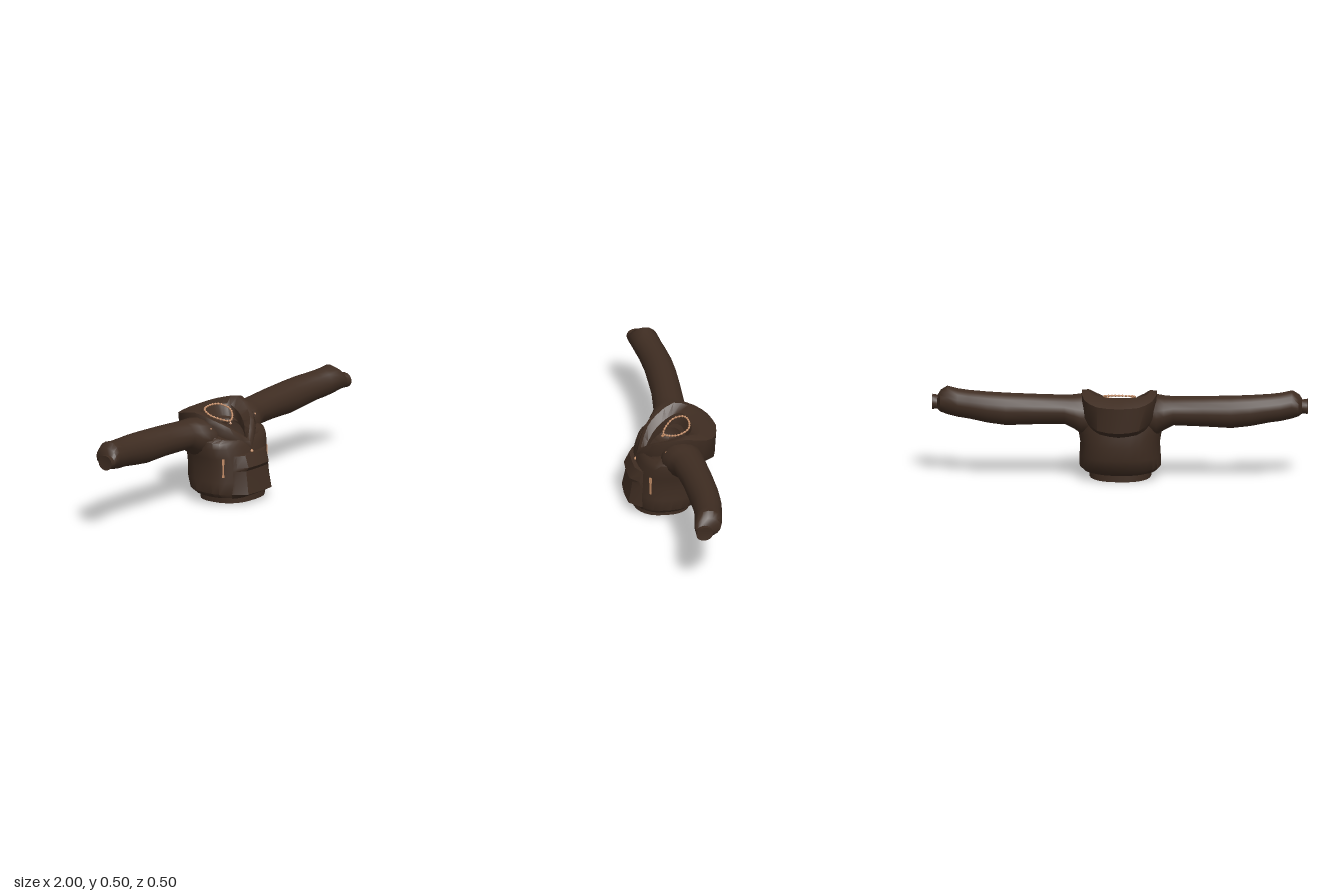
import * as THREE from 'three';
import { toCreasedNormals } from 'three/addons/utils/BufferGeometryUtils.js';

const V = (x, y, z) => new THREE.Vector3(x, y, z);

// Skin between rows of points; wrap closes each row into a ring.
function loft(rows, wrap = true, crease = 0.75) {
  const n = rows[0].length, idx = [];
  for (let i = 0; i < rows.length - 1; i++) {
    for (let j = 0; j < (wrap ? n : n - 1); j++) {
      const k = (j + 1) % n, a = i * n + j, b = i * n + k, c = b + n, d = a + n;
      idx.push(a, b, c, a, c, d);
    }
  }
  const g = new THREE.BufferGeometry().setFromPoints(rows.flat());
  g.setIndex(idx);
  return toCreasedNormals(g, crease);
}

export function createModel() {
  const model = new THREE.Group();
  model.name = 'hoodie';
  const fabric = new THREE.MeshStandardMaterial({ color: 0x3f2d22, side: THREE.DoubleSide });
  fabric.name = 'brown fabric';
  const copper = new THREE.MeshStandardMaterial({ color: 0xc08a64 });
  copper.name = 'copper';
  const add = (name, geo, mat, parent = model) => {
    const m = new THREE.Mesh(geo, mat);
    m.name = name;
    parent.add(m);
    return m;
  };

  // Rounded-box ring: back height, front height, half width, back z, front z
  const bodyRing = ([yb, yf, rx, zb, zf]) => Array.from({ length: 28 }, (_, j) => {
    const t = j / 28 * Math.PI * 2, p = 0.8;
    const s = Math.sin(t), c = Math.cos(t);
    const u = Math.sign(s) * Math.abs(s) ** p, w = Math.sign(c) * Math.abs(c) ** p;
    const f = (w + 1) / 2;
    return V(rx * u, yb + (yf - yb) * f, zb + (zf - zb) * f);
  });

  // Torso, open at the neck and hem
  add('torso', loft([
    [0.035, 0.042, 0.165, -0.1, 0.2],
    [0.042, 0.046, 0.195, -0.112, 0.208],
    [0.068, 0.068, 0.217, -0.145, 0.215],
    [0.13, 0.13, 0.216, -0.165, 0.212],
    [0.2, 0.2, 0.212, -0.168, 0.205],
    [0.26, 0.26, 0.222, -0.167, 0.193],
    [0.33, 0.31, 0.236, -0.155, 0.178],
    [0.39, 0.335, 0.232, -0.148, 0.167],
    [0.435, 0.345, 0.19, -0.13, 0.158],
    [0.4, 0.33, 0.115, -0.06, 0.14],
  ].map(bodyRing)), fabric);

  // Ribbed hem band with a folded inner edge
  add('hem', loft([
    [0.045, 0.045, 0.15, -0.085, 0.195],
    [0.002, 0.016, 0.155, -0.09, 0.2],
    [0, 0.014, 0.165, -0.1, 0.21],
    [0.045, 0.045, 0.168, -0.1, 0.21],
  ].map(bodyRing)), fabric);

  // Front pouch pocket: height, half width, edge z, front z
  const across = [-1, -0.93, -0.6, 0, 0.6, 0.93, 1];
  add('pocket', loft([
    [0.04, 0.14, 0.17, 0.2],
    [0.066, 0.16, 0.165, 0.25],
    [0.13, 0.15, 0.17, 0.236],
    [0.19, 0.145, 0.17, 0.225],
    [0.21, 0.14, 0.17, 0.24],
    [0.272, 0.13, 0.17, 0.21],
    [0.274, 0.125, 0.16, 0.185],
  ].map(([y, w, ze, zf]) => across.map(u =>
    V(u * w, y, zf - (zf - ze) * Math.abs(u) ** 5))), false, 0.5), fabric);

  // Sleeves: x, bottom y, top y, back z, front z
  const sleeve = [
    [0.15, 0.25, 0.455, -0.13, 0.08],
    [0.2, 0.25, 0.468, -0.142, 0.08],
    [0.24, 0.28, 0.464, -0.142, 0.055],
    [0.29, 0.308, 0.463, -0.138, 0.035],
    [0.45, 0.306, 0.47, -0.146, 0.016],
    [0.6, 0.3, 0.476, -0.15, 0.01],
    [0.7, 0.312, 0.48, -0.145, 0.01],
    [0.8, 0.33, 0.484, -0.13, 0.02],
    [0.86, 0.336, 0.489, -0.118, 0.03],
    [0.92, 0.348, 0.5, -0.108, 0.042],
    [0.955, 0.36, 0.475, -0.095, 0.048],
    [0.972, 0.368, 0.442, -0.043, 0.045],
    [1, 0.365, 0.446, -0.043, 0.047],
    [0.995, 0.405, 0.405, 0, 0],
  ];
  for (const s of [1, -1]) {
    const rows = sleeve.map(([x, y0, y1, z0, z1]) => Array.from({ length: 16 }, (_, j) => {
      const t = s * j / 16 * Math.PI * 2;
      return V(s * x, (y0 + y1) / 2 + (y1 - y0) / 2 * Math.cos(t),
        (z0 + z1) / 2 + (z1 - z0) / 2 * Math.sin(t));
    }));
    add(s > 0 ? 'leftSleeve' : 'rightSleeve', loft(rows), fabric);
  }

  // Lowered hood: half rows from front tip to back centre, mirrored
  const hoodRow = (pts) => {
    const c = new THREE.CatmullRomCurve3(pts.map(p => V(...p)));
    const half = Array.from({ length: 13 }, (_, k) => c.getPoint(k / 12));
    const other = half.slice(1, -1).reverse().map(p => V(-p.x, p.y, p.z));
    return [...half, ...other];
  };
  add('hood', loft([
    [[0, 0.27, 0.183], [0.08, 0.33, 0.14], [0.145, 0.37, 0.08], [0.185, 0.4, -0.03], [0.165, 0.32, -0.12], [0.1, 0.275, -0.155], [0, 0.26, -0.165]],
    [[0, 0.3, 0.186], [0.09, 0.37, 0.14], [0.155, 0.42, 0.07], [0.2, 0.44, -0.03], [0.18, 0.36, -0.14], [0.11, 0.31, -0.215], [0, 0.3, -0.24]],
    [[0, 0.33, 0.175], [0.1, 0.412, 0.118], [0.15, 0.45, 0.06], [0.2, 0.492, -0.045], [0.18, 0.462, -0.16], [0.11, 0.441, -0.225], [0, 0.438, -0.248]],
    [[0, 0.34, 0.16], [0.085, 0.417, 0.105], [0.13, 0.453, 0.05], [0.165, 0.497, -0.05], [0.145, 0.485, -0.125], [0.075, 0.478, -0.16], [0, 0.475, -0.17]],
    [[0, 0.325, 0.14], [0.06, 0.385, 0.085], [0.098, 0.42, 0.03], [0.116, 0.45, -0.03], [0.11, 0.465, -0.075], [0.065, 0.465, -0.105], [0, 0.465, -0.112]],
    [[0, 0.3, 0.14], [0.06, 0.34, 0.085], [0.098, 0.36, 0.03], [0.116, 0.37, -0.02], [0.1, 0.375, -0.045], [0.06, 0.38, -0.06], [0, 0.38, -0.062]],
  ].map(hoodRow), true, 0.8), fabric);

  // Beaded necklace with a small pendant
  const necklace = new THREE.Group();
  necklace.name = 'necklace';
  model.add(necklace);
  const side = [[0.045, 0.428, 0.015], [0.082, 0.452, -0.035], [0.065, 0.47, -0.085]];
  const chain = new THREE.CatmullRomCurve3([
    V(0, 0.415, 0.036), ...side.map(p => V(...p)), V(0, 0.476, -0.102),
    ...side.slice().reverse().map(([x, y, z]) => V(-x, y, z)),
  ], true);
  add('chain', new THREE.TubeGeometry(chain, 60, 0.0035, 6, true), copper, necklace);
  const bead = new THREE.SphereGeometry(0.0065, 8, 6);
  for (let i = 0; i < 26; i++) {
    add('bead', bead, copper, necklace).position.copy(chain.getPointAt(i / 26));
  }
  add('pendant', new THREE.OctahedronGeometry(0.01), copper, necklace).position.set(0, 0.402, 0.04);

  // Copper studs on the chest and thin trims on the body sides
  const stud = add('chestStud', new THREE.SphereGeometry(0.01, 8, 6), copper);
  stud.position.set(0, 0.277, 0.186);
  for (const s of [1, -1]) {
    const shoulder = add('shoulderStud', new THREE.SphereGeometry(0.007, 8, 6), copper);
    shoulder.position.set(s * 0.184, 0.415, 0.055);
    [[0.246, 0.03, 0.015], [0.2, 0.06, 0.009], [0.166, 0.012, 0.012]].forEach(([y, h, w]) => {
      const trim = add('sideTrim', new THREE.BoxGeometry(0.006, h, w), copper);
      trim.position.set(s * 0.181, y, 0.14);
      trim.rotation.y = -s * 0.75;
    });
  }
  return model;
}
